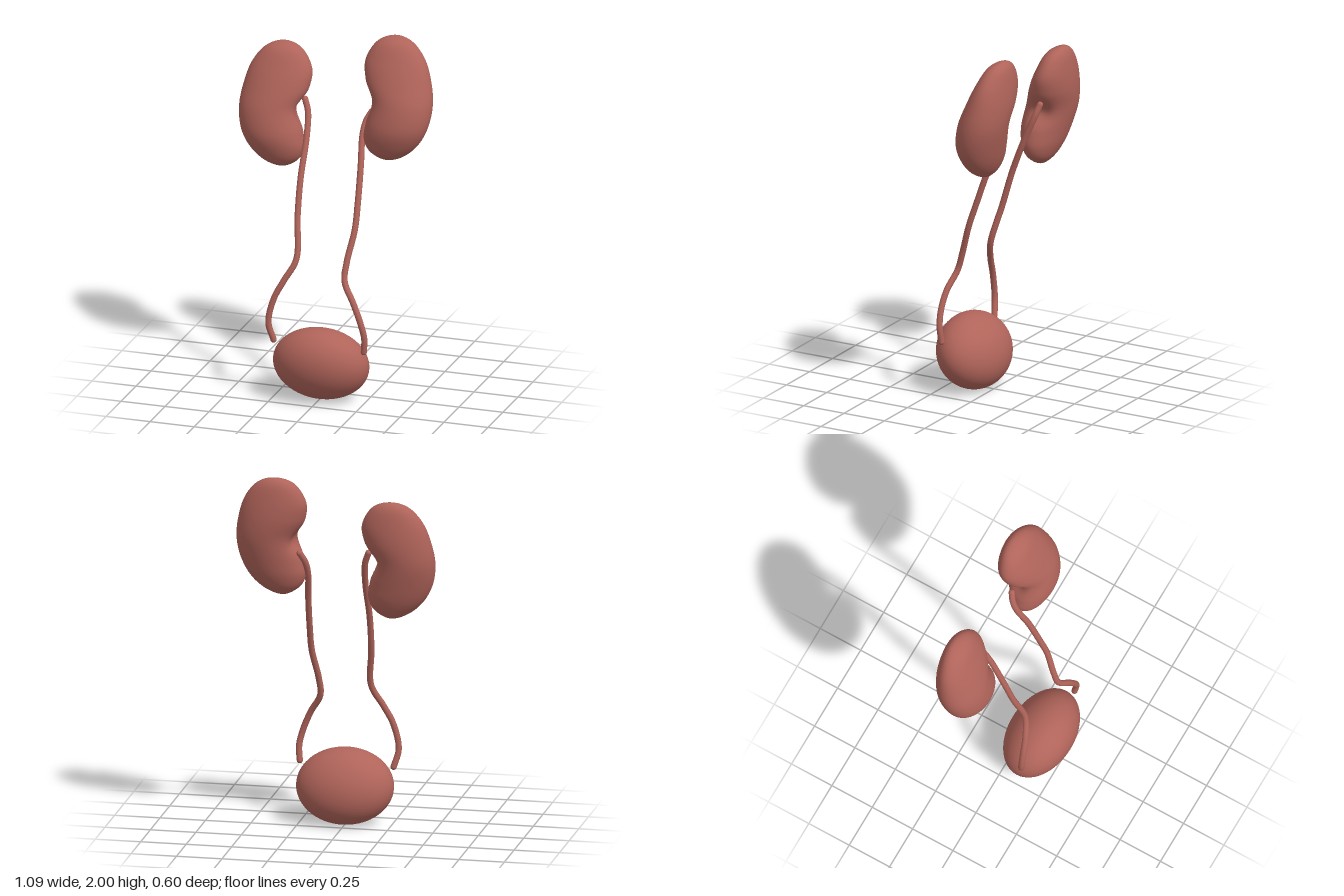
import * as THREE from 'three';
import { mergeVertices } from 'three/addons/utils/BufferGeometryUtils.js';

const V = (x, y, z = 0) => new THREE.Vector3(x, y, z);
const loop = (pts) => new THREE.CatmullRomCurve3(pts.map((p) => V(...p)), true, 'catmullrom', 0.5);

// Bean outline (x, y): top pole, down the inner edge, bottom pole, up the outer edge
const outline = loop([
  [0.315, 2.0], [0.215, 1.965], [0.155, 1.865], [0.163, 1.765], [0.203, 1.66], [0.182, 1.53], [0.172, 1.44], [0.205, 1.37],
  [0.29, 1.325], [0.385, 1.35], [0.47, 1.42], [0.525, 1.52], [0.545, 1.64], [0.53, 1.76], [0.49, 1.88], [0.415, 1.97],
]);
// Leaning depth profile (z, y): same stations, down the front and up the back
const depth = loop([
  [-0.235, 2.0], [-0.165, 1.965], [-0.11, 1.87], [-0.06, 1.765], [-0.02, 1.65], [0, 1.525], [-0.02, 1.43], [-0.06, 1.36],
  [-0.125, 1.325], [-0.18, 1.36], [-0.22, 1.43], [-0.25, 1.525], [-0.28, 1.65], [-0.295, 1.765], [-0.292, 1.87], [-0.275, 1.965],
]);

// Loft elliptical sections between the outline edges; side is +1 (left) or -1 (right)
function kidneyGeometry(side, drop) {
  const rows = 64, cols = 64, pos = [], idx = [];
  for (let i = 0; i <= rows; i++) {
    const t = i / rows / 2;
    const inner = outline.getPoint(t), outer = outline.getPoint((1 - t) % 1);
    const front = depth.getPoint(t).x, back = depth.getPoint((1 - t) % 1).x;
    for (let j = 0; j < cols; j++) {
      const a = (j / cols) * Math.PI * 2, s = (1 + Math.cos(a)) / 2;
      const p = inner.clone().lerp(outer, s);
      p.z = (front + back) / 2 + ((front - back) / 2) * Math.sin(a);
      // hollow of the hilum on the inner edge
      const dent = Math.exp(-(((p.y - 1.63) / 0.06) ** 2) - (((p.z + 0.17) / 0.06) ** 2)) * Math.max(0, 1 - 2 * s);
      pos.push(side * (p.x + 0.035 * dent), p.y - drop, p.z);
      if (i === rows) continue;
      const k = (j + 1) % cols;
      const A = i * cols + j, B = i * cols + k, C = A + cols, D = B + cols;
      if (side > 0) idx.push(A, B, C, B, D, C);
      else idx.push(A, C, B, B, C, D);
    }
  }
  const g = new THREE.BufferGeometry();
  g.setAttribute('position', new THREE.Float32BufferAttribute(pos, 3));
  g.setIndex(idx);
  const merged = mergeVertices(g, 1e-5);
  merged.computeVertexNormals();
  return merged;
}

export function createModel() {
  const model = new THREE.Group();
  model.name = 'urinarySystem';
  const material = new THREE.MeshStandardMaterial({ color: 0xb0645a });
  const add = (name, geometry, parent = model) => {
    const mesh = new THREE.Mesh(geometry, material);
    mesh.name = name;
    parent.add(mesh);
    return mesh;
  };

  // Kidneys: the right one sits lower
  add('leftKidney', kidneyGeometry(1, 0));
  add('rightKidney', kidneyGeometry(-1, 0.103));

  // Bladder: tilted ellipsoid
  const bladder = add('bladder', new THREE.SphereGeometry(1, 64, 40));
  bladder.scale.set(0.267, 0.212, 0.175);
  bladder.rotation.x = 0.465;
  bladder.position.set(0.007, 0.207, 0.117);

  // Ureters: thin tubes from hilum to bladder with rounded ends
  const ureters = {
    leftUreter: [
      [0.195, 1.57, -0.175], [0.17, 1.52, -0.155], [0.16, 1.45, -0.125], [0.172, 1.3, -0.06], [0.178, 1.1, 0.01], [0.177, 0.97, 0.055],
      [0.15, 0.8, 0.11], [0.148, 0.7, 0.14], [0.21, 0.59, 0.175], [0.255, 0.48, 0.185], [0.273, 0.4, 0.18], [0.268, 0.32, 0.172],
    ],
    rightUreter: [
      [-0.185, 1.595, -0.18], [-0.162, 1.53, -0.16], [-0.152, 1.4, -0.105], [-0.158, 1.2, -0.025], [-0.155, 1.0, 0.035],
      [-0.14, 0.78, 0.1], [-0.2, 0.66, 0.135], [-0.25, 0.56, 0.15], [-0.28, 0.42, 0.155], [-0.255, 0.32, 0.142],
    ],
  };
  const radius = 0.017;
  for (const [name, pts] of Object.entries(ureters)) {
    const group = new THREE.Group();
    group.name = name;
    model.add(group);
    const path = new THREE.CatmullRomCurve3(pts.map((p) => V(...p)));
    add(name + 'Tube', new THREE.TubeGeometry(path, 120, radius, 14), group);
    for (const p of [pts[0], pts[pts.length - 1]]) {
      add(name + 'End', new THREE.SphereGeometry(radius, 14, 10), group).position.set(...p);
    }
  }
  return model;
}
